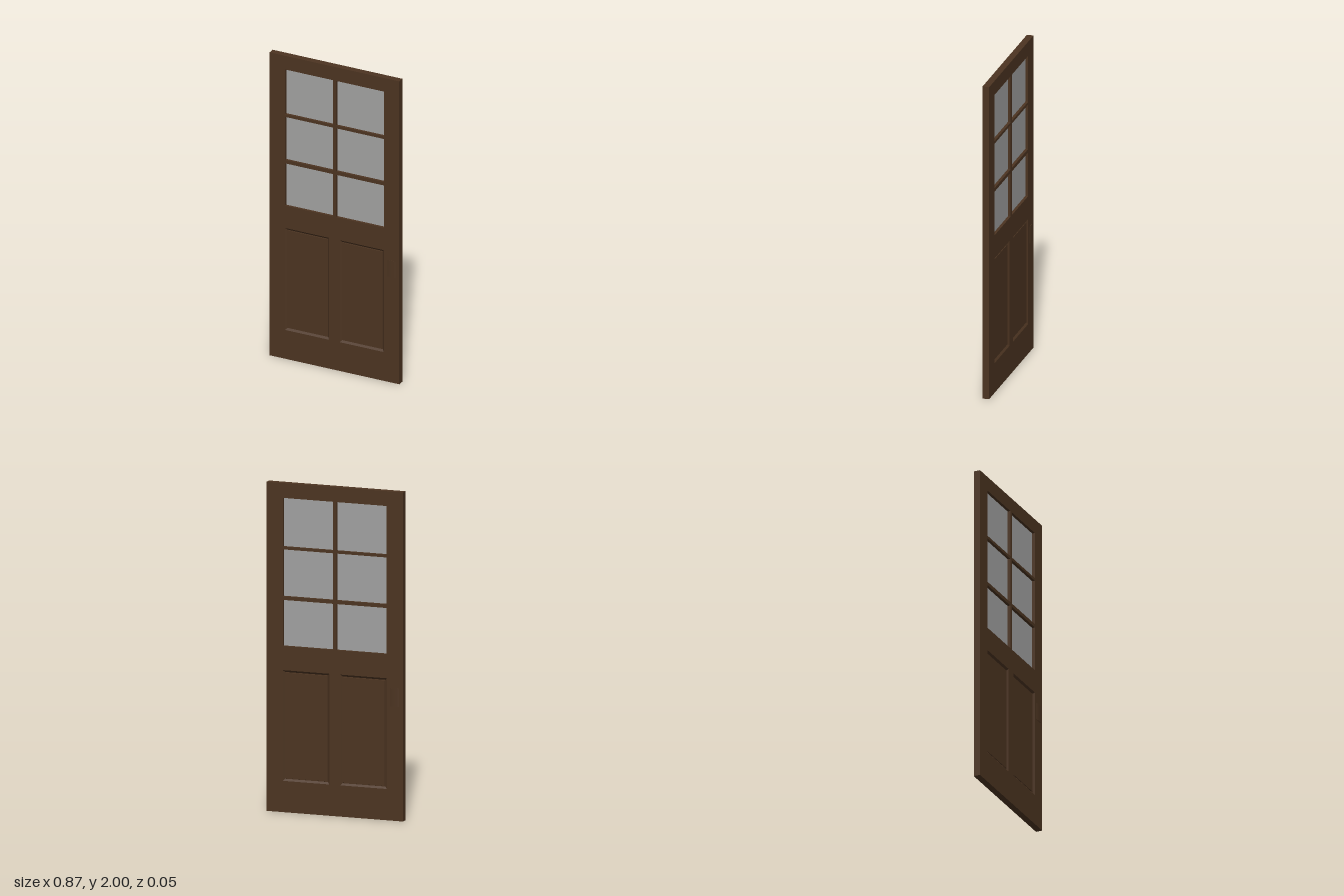
import * as THREE from 'three';

const HALF_W = 0.434, HEIGHT = 2, HALF_T = 0.0205;

const wood = new THREE.MeshStandardMaterial({ color: 0x4c3421 });
wood.name = 'dark wood';
const glass = new THREE.MeshStandardMaterial({ color: 0xa2a2a1 });
glass.name = 'grey glass';

// Openings as [x0, y0, x1, y1]
const panes = [];
for (const [y0, y1] of [[1.01, 1.29], [1.312, 1.597], [1.614, 1.91]]) {
  panes.push([-0.331, y0, -0.011, y1], [0.011, y0, 0.331, y1]);
}
const panels = [[-0.331, 0.19, -0.035, 0.863], [0.035, 0.19, 0.331, 0.863]];

function tracePath(path, [x0, y0, x1, y1]) {
  path.moveTo(x0, y0);
  path.lineTo(x1, y0);
  path.lineTo(x1, y1);
  path.lineTo(x0, y1);
  path.closePath();
  return path;
}

function add(parent, name, geometry, material, x = 0, y = 0, z = 0) {
  const mesh = new THREE.Mesh(geometry, material);
  mesh.name = name;
  mesh.position.set(x, y, z);
  parent.add(mesh);
  return mesh;
}

// Sunken panel: sloped moulding, a small step, then the flat field
function panelGeometry([x0, y0, x1, y1]) {
  const rings = [[0, HALF_T], [0.012, HALF_T - 0.01], [0.015, HALF_T - 0.01], [0.016, HALF_T - 0.007]]
    .map(([i, z]) => [[x0 + i, y0 + i, z], [x1 - i, y0 + i, z], [x1 - i, y1 - i, z], [x0 + i, y1 - i, z]]);
  const pos = [];
  const quad = (a, b, c, d) => pos.push(...a, ...b, ...c, ...a, ...c, ...d);
  for (let r = 0; r < rings.length - 1; r++) {
    for (let k = 0; k < 4; k++) {
      const n = (k + 1) % 4;
      quad(rings[r][k], rings[r][n], rings[r + 1][n], rings[r + 1][k]);
    }
  }
  quad(...rings[rings.length - 1]);
  const g = new THREE.BufferGeometry();
  g.setAttribute('position', new THREE.Float32BufferAttribute(pos, 3));
  g.computeVertexNormals();
  return g;
}

export function createModel() {
  const door = new THREE.Group();
  door.name = 'door';

  // Frame with glazing bars, cut out of one slab
  const outline = tracePath(new THREE.Shape(), [-HALF_W, 0, HALF_W, HEIGHT]);
  for (const r of [...panes, ...panels]) outline.holes.push(tracePath(new THREE.Path(), r));
  const slab = new THREE.ExtrudeGeometry(outline, { depth: HALF_T * 2, bevelEnabled: false });
  add(door, 'frame', slab, wood, 0, 0, -HALF_T);

  // Window panes
  for (const [x0, y0, x1, y1] of panes) {
    add(door, 'windowPane', new THREE.BoxGeometry(x1 - x0, y1 - y0, 0.006), glass, (x0 + x1) / 2, (y0 + y1) / 2, 0);
  }

  // Each face has two panels and a shallow curved pull; the back is the front turned around
  for (const side of ['front', 'back']) {
    const face = new THREE.Group();
    face.name = side + 'Face';
    if (side === 'back') face.rotation.y = Math.PI;
    for (const r of panels) add(face, 'sunkenPanel', panelGeometry(r), wood);
    const pull = new THREE.CylinderGeometry(1, 1, 0.11, 24).scale(0.027, 1, 0.003);
    add(face, 'handlePull', pull, wood, 0.382, 0.75, HALF_T);
    door.add(face);
  }
  return door;
}
